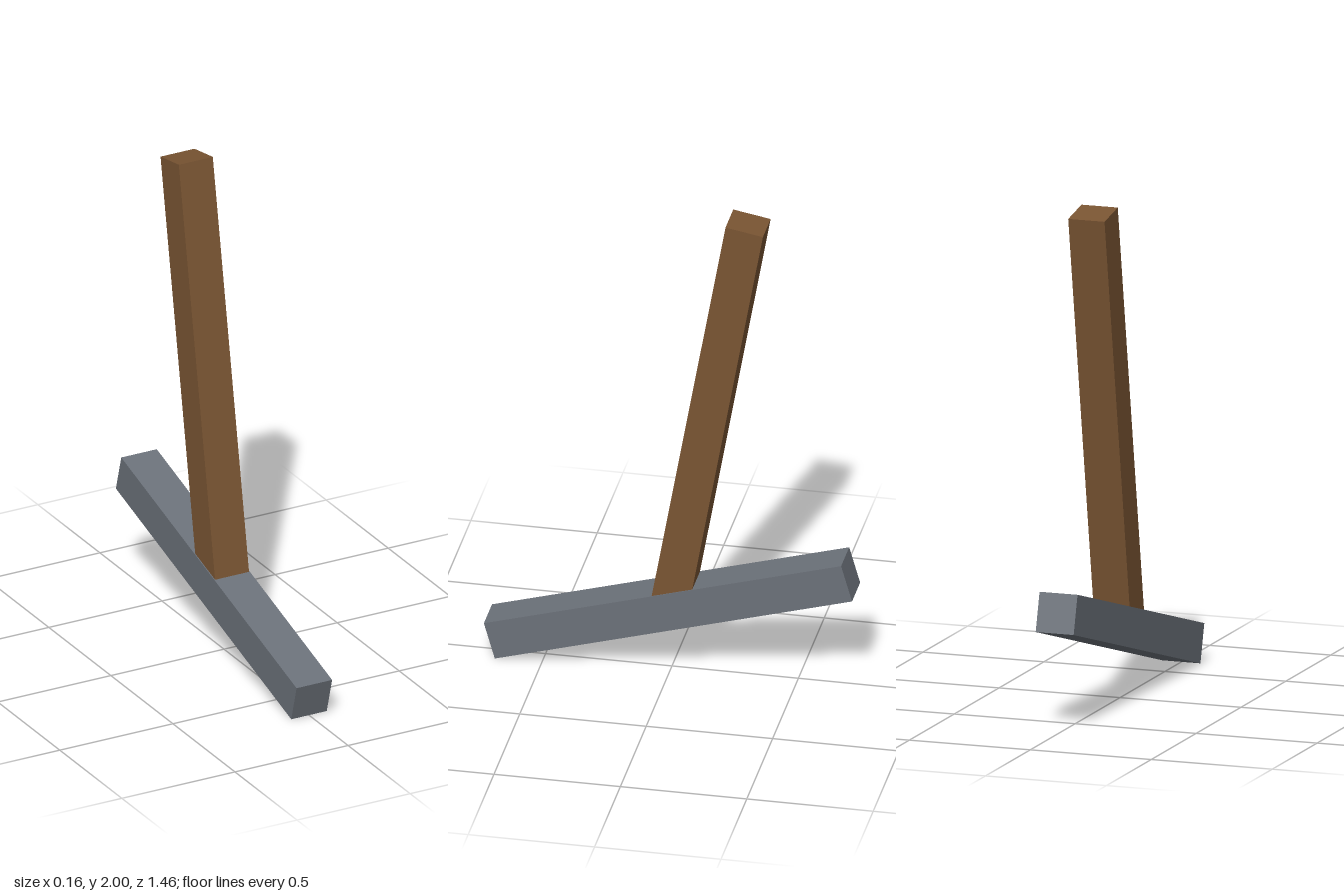
import * as THREE from 'three';

const HEAD = { width: 0.157, length: 1.47, tilt: 16 };
const HANDLE = { width: 0.15, length: 1.733, tilt: -10 };
const HEAD_CENTRE_Y = 0.282;

function beam(name, size, color, tilt) {
  const mesh = new THREE.Mesh(
    new THREE.BoxGeometry(...size),
    new THREE.MeshStandardMaterial({ color, flatShading: true })
  );
  mesh.name = name;
  mesh.rotation.x = THREE.MathUtils.degToRad(tilt);
  mesh.position.y = HEAD_CENTRE_Y;
  return mesh;
}

export function createModel() {
  const model = new THREE.Group();
  model.name = 'hammer';

  // Square metal bar, its front end dipping to the ground
  const head = beam('head', [HEAD.width, HEAD.width, HEAD.length], 0x6b7179, HEAD.tilt);

  // Wooden handle rising from the middle of the head, leaning back
  const handle = beam('handle', [HANDLE.width, HANDLE.length, HANDLE.width], 0x7a5533, HANDLE.tilt);
  handle.translateY(HANDLE.length / 2);

  model.add(head, handle);
  return model;
}
